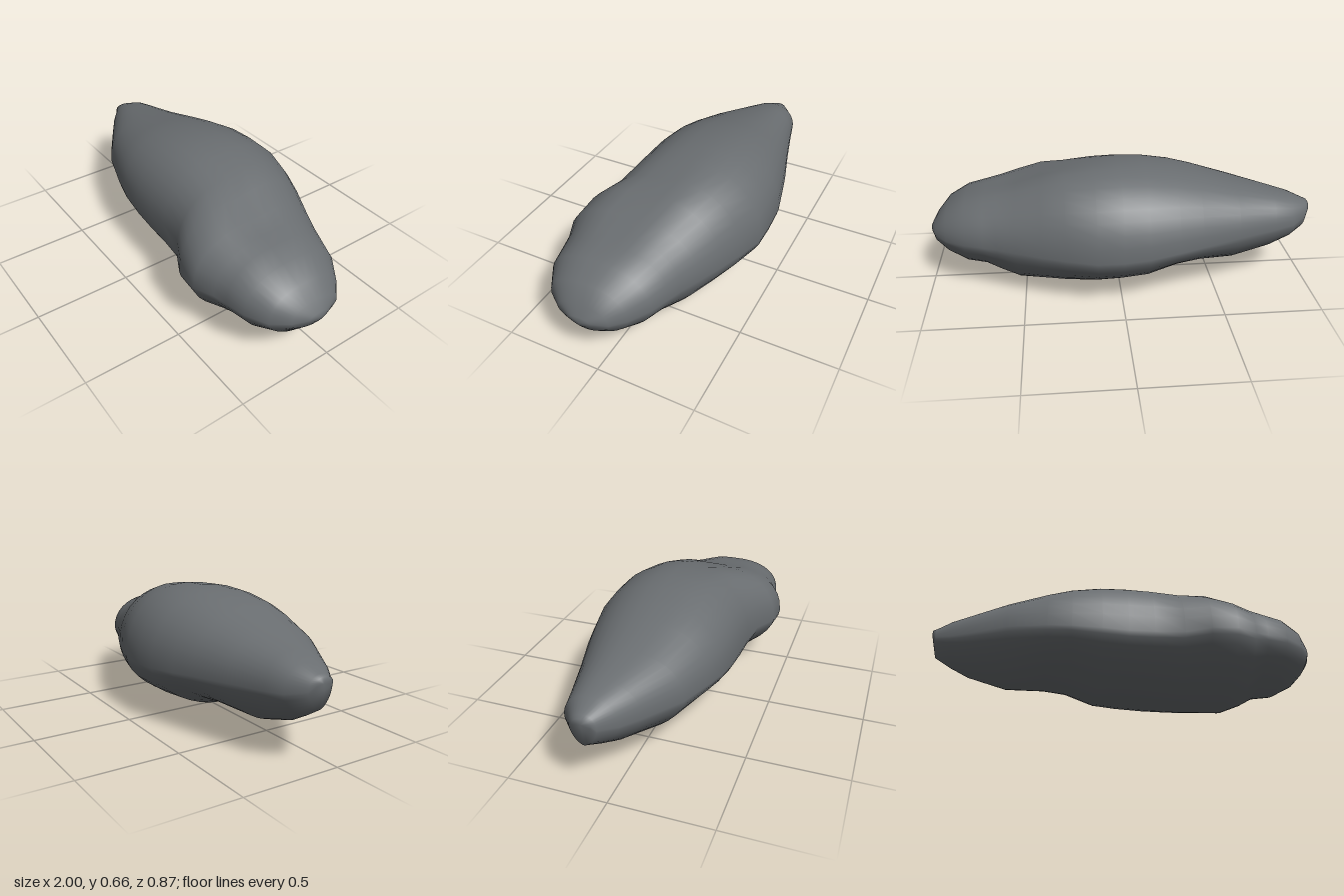
import * as THREE from 'three';

// Cross-sections along the stone: x, top y, bottom y, back z, front z, widest y, crest z
const SECTIONS = [
  [-1.0, 0.43, 0.37, -0.14, -0.05, 0.40, -0.10],
  [-0.98, 0.44, 0.28, -0.165, -0.035, 0.37, -0.10],
  [-0.9, 0.475, 0.23, -0.23, 0.03, 0.35, -0.10],
  [-0.8, 0.50, 0.175, -0.255, 0.095, 0.34, -0.09],
  [-0.6, 0.545, 0.11, -0.31, 0.22, 0.33, -0.06],
  [-0.4, 0.60, 0.115, -0.37, 0.285, 0.32, -0.04],
  [-0.28, 0.63, 0.105, -0.40, 0.315, 0.31, -0.04],
  [-0.13, 0.655, 0.05, -0.435, 0.33, 0.30, -0.05],
  [0.0, 0.663, 0.04, -0.44, 0.335, 0.29, -0.06],
  [0.13, 0.658, 0.033, -0.44, 0.34, 0.29, -0.06],
  [0.28, 0.635, 0.024, -0.395, 0.355, 0.29, -0.05],
  [0.4, 0.602, 0.015, -0.35, 0.42, 0.29, -0.02],
  [0.53, 0.55, 0.003, -0.295, 0.43, 0.29, 0.02],
  [0.63, 0.522, 0.04, -0.25, 0.385, 0.29, 0.04],
  [0.7, 0.503, 0.08, -0.225, 0.37, 0.29, 0.05],
  [0.8, 0.475, 0.087, -0.19, 0.35, 0.29, 0.07],
  [0.9, 0.42, 0.14, -0.12, 0.29, 0.28, 0.08],
  [0.96, 0.35, 0.205, -0.06, 0.21, 0.28, 0.07],
  [0.99, 0.30, 0.25, 0.02, 0.13, 0.28, 0.07],
];
const SIDES = 36;

// Rounded quadrant: the exponent sets how full the curve is
const power = (v, n) => Math.sign(v) * Math.abs(v) ** (2 / n);

function sectionPoint([x, top, bottom, back, front, midY, midZ], angle) {
  const c = Math.cos(angle), s = Math.sin(angle);
  const n = s < 0 ? 1.6 : c > 0 ? 2.4 : 2.2; // full above, tapering keel below
  const z = midZ + power(c, n) * (c > 0 ? front - midZ : midZ - back);
  let y = midY + power(s, n) * (s > 0 ? top - midY : midY - bottom);
  // Shallow hollow along the upper face
  if (s > 0) y -= 0.022 * s * Math.exp(-(((x - 0.4) / 0.28) ** 2) - ((z - 0.07) / 0.09) ** 2);
  return [x, y, z];
}

function stoneGeometry() {
  const positions = [], index = [];
  for (const section of SECTIONS) {
    for (let j = 0; j < SIDES; j++) {
      positions.push(...sectionPoint(section, (j / SIDES) * Math.PI * 2));
    }
  }
  // Skin between neighbouring sections
  const last = (SECTIONS.length - 1) * SIDES;
  for (let i = 0; i < last; i += SIDES) {
    for (let j = 0; j < SIDES; j++) {
      const k = (j + 1) % SIDES;
      const a = i + j, b = i + k, c = a + SIDES, d = b + SIDES;
      index.push(a, c, b, b, c, d);
    }
  }
  // End tips
  const leftTip = positions.length / 3, rightTip = leftTip + 1;
  positions.push(-1, 0.40, -0.1, 1, 0.28, 0.07);
  for (let j = 0; j < SIDES; j++) {
    const k = (j + 1) % SIDES;
    index.push(leftTip, j, k, rightTip, last + k, last + j);
  }
  const geometry = new THREE.BufferGeometry();
  geometry.setAttribute('position', new THREE.Float32BufferAttribute(positions, 3));
  geometry.setIndex(index);
  geometry.computeVertexNormals();
  return geometry;
}

export function createModel() {
  const model = new THREE.Group();
  model.name = 'rock';
  const stoneGrey = new THREE.MeshStandardMaterial({ color: 0x6a6e71 });
  stoneGrey.name = 'stoneGrey';
  const stone = new THREE.Mesh(stoneGeometry(), stoneGrey);
  stone.name = 'stone';
  model.add(stone);
  return model;
}
